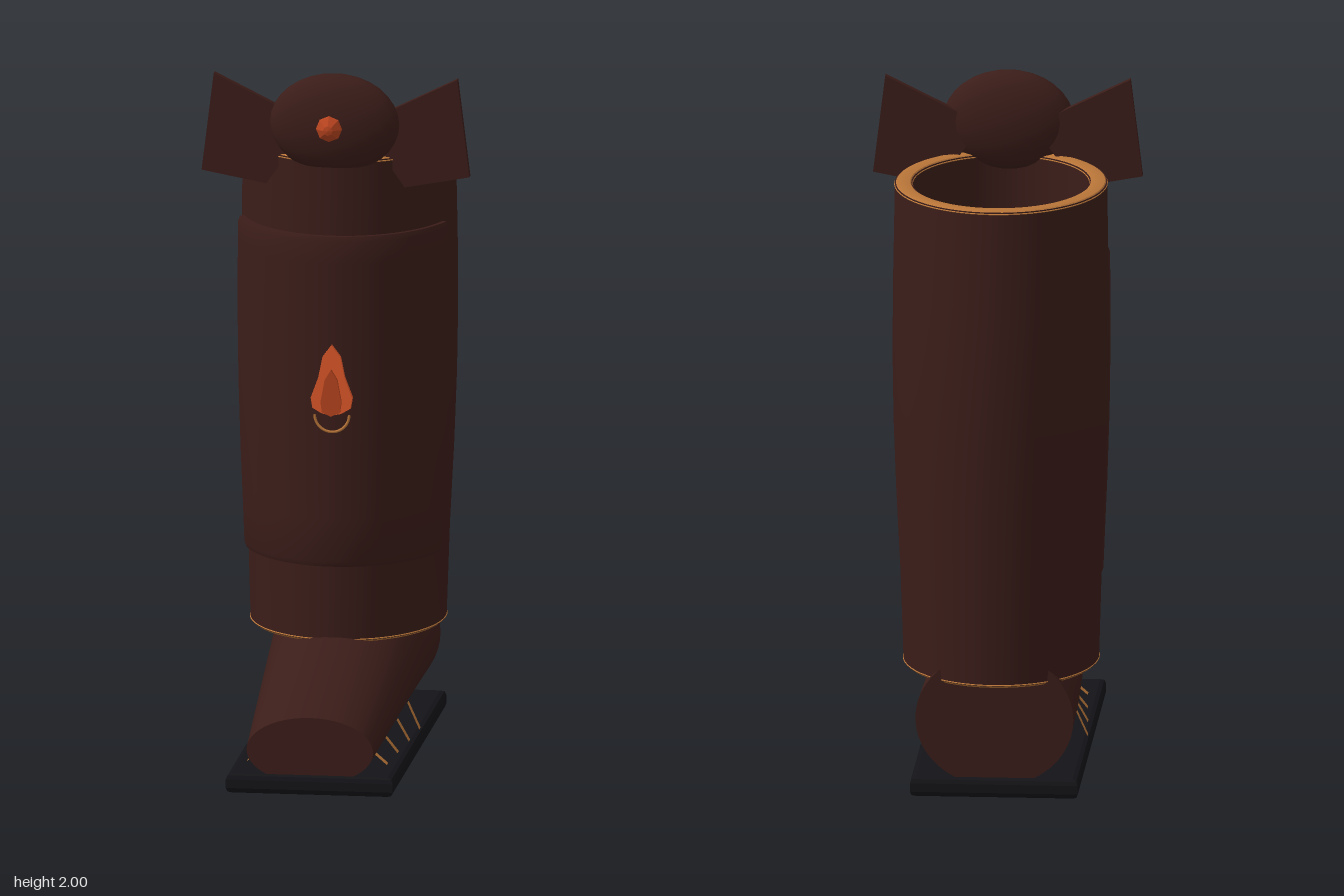
import * as THREE from 'three';
import { toCreasedNormals } from 'three/addons/utils/BufferGeometryUtils.js';

const mat = (color, extra = {}) => new THREE.MeshStandardMaterial({ color, ...extra });
const LEATHER = mat(0x3b1d19);
const GOLD = mat(0xb87538, { side: THREE.DoubleSide });
const RUBBER = mat(0x141418);
const EMBER = mat(0xe2592a, { flatShading: true });
const EMBER_DARK = mat(0xb9441f, { flatShading: true });

// Surface through nu x nv points given by fn(i, j); wraps round in i when closed
function grid(nu, nv, closed, fn) {
  const pos = [], idx = [];
  for (let j = 0; j < nv; j++) for (let i = 0; i < nu; i++) pos.push(...fn(i, j));
  for (let j = 0; j < nv - 1; j++) {
    for (let i = 0; i < (closed ? nu : nu - 1); i++) {
      const a = j * nu + i, b = j * nu + (i + 1) % nu;
      idx.push(a, b, b + nu, a, b + nu, a + nu);
    }
  }
  const geo = new THREE.BufferGeometry();
  geo.setAttribute('position', new THREE.Float32BufferAttribute(pos, 3));
  geo.setIndex(idx);
  return toCreasedNormals(geo, 0.6);
}

// Linear lookup in rows of [key, ...values]
function lookup(rows, k) {
  let n = 0;
  while (n < rows.length - 2 && k > rows[n + 1][0]) n++;
  const a = rows[n], b = rows[n + 1];
  const t = THREE.MathUtils.clamp((k - a[0]) / (b[0] - a[0]), 0, 1);
  return a.map((v, i) => v + (b[i] - v) * t);
}

// Shaft outline: height, half width, back z
const SHAFT = [
  [0.34, 0.28, -0.58], [0.6, 0.288, -0.596], [0.85, 0.3, -0.612], [1.05, 0.307, -0.621],
  [1.25, 0.31, -0.625], [1.45, 0.309, -0.62], [1.75, 0.304, -0.606],
];
const SHAFT_FRONT = 0.11;
function shaftPoint(y, t, offset) {
  const [, rx, back] = lookup(SHAFT, y);
  const cz = (SHAFT_FRONT + back) / 2, rz = (SHAFT_FRONT - back) / 2;
  return [(rx + offset) * Math.sin(t), y, cz + (rz + offset) * Math.cos(t)];
}
// Closed ring swept round the shaft from [height, offset] pairs
function shaftRing(rows) {
  const n = 64;
  return grid(n, rows.length, true, (i, j) => shaftPoint(rows[j][0], (i / n) * Math.PI * 2, rows[j][1]));
}

// Foot outline: z, half width, top height
const FOOT = [
  [-0.525, 0.227, 0.43], [-0.2, 0.222, 0.425], [0.11, 0.207, 0.35], [0.61, 0.183, 0.225],
];
const FOOT_BASE = 0.03;
function footPoint(z, a, scale = 1) {
  const [, rx, top] = lookup(FOOT, z);
  const ry = (top - FOOT_BASE) / 2, cy = FOOT_BASE + ry;
  return [scale * rx * Math.cos(a), Math.max(0.045, cy + scale * ry * Math.sin(a)), z];
}

function polygon(points) {
  return new THREE.Shape(points.map(([x, y]) => new THREE.Vector2(x, y)));
}

export function createModel() {
  const model = new THREE.Group();
  const add = (name, geo, material, parent = model) => {
    const mesh = new THREE.Mesh(geo, material);
    mesh.name = name;
    parent.add(mesh);
    return mesh;
  };

  // Sole: bevelled slab
  const sole = new THREE.ExtrudeGeometry(
    polygon([[-0.225, -0.61], [0.225, -0.61], [0.225, 0.53], [-0.225, 0.53]]),
    { depth: 0.025, bevelThickness: 0.016, bevelSize: 0.016, bevelSegments: 2 });
  sole.rotateX(-Math.PI / 2).translate(0, 0.016, 0);
  add('sole', sole, RUBBER);

  // Foot: flattened ellipses from heel to toe, closed with flat ends
  const zs = FOOT.map((r) => r[0]);
  const stations = [[zs[0], 0], ...zs.map((z) => [z, 1]), [zs[3], 0]];
  add('foot', grid(48, stations.length, true, (i, j) =>
    footPoint(stations[j][0], (i / 48) * Math.PI * 2, stations[j][1])), LEATHER);

  // Welt straps: thin strips leaning from the foot out to the sole
  for (const [z, h] of [[0.44, 0.088], [0.285, 0.102], [0.13, 0.12], [-0.027, 0.136]]) {
    const [, rx, top] = lookup(FOOT, z);
    const ry = (top - FOOT_BASE) / 2;
    const x = rx * Math.sqrt(1 - ((h - FOOT_BASE - ry) / ry) ** 2) + 0.003;
    for (const s of [-1, 1]) {
      add('weltStrap', grid(2, 2, false, (i, j) =>
        [s * (j ? x : x + 0.035), j ? h : 0.058, z + (i - 0.5) * 0.03]), GOLD);
    }
  }

  // Shaft: hollow leather tube
  const heights = SHAFT.map((r) => r[0]);
  const WALL = -0.05;
  add('shaft', shaftRing([
    ...heights.map((y) => [y, 0]),
    ...heights.slice().reverse().map((y) => [y, WALL]),
    [heights[0], 0],
  ]), LEATHER);

  // Gold piping along both ends of the shaft
  for (const [name, y] of [['topTrim', 1.745], ['bottomTrim', 0.343]]) {
    const section = [];
    for (let k = 0; k <= 8; k++) {
      const a = (k / 8) * Math.PI * 2;
      section.push([y + 0.011 * Math.sin(a), WALL / 2 + 0.027 * Math.cos(a)]);
    }
    add(name, shaftRing(section), GOLD);
  }

  // Shin guard: raised panel wrapped round the front of the shaft
  const NT = 40, rows = [0.56, 0.56, 0.575, 0.7, 0.85, 1.05, 1.25, 1.45, 1.515, 1.53, 1.53];
  add('shinGuard', grid(NT + 3, rows.length, false, (i, j) => {
    const t = (THREE.MathUtils.clamp(i - 1, 0, NT) / NT - 0.5) * 2.4;
    const edge = i === 0 || i === NT + 2 || j === 0 || j === rows.length - 1;
    const rim = j === 1 || j === rows.length - 2;
    return shaftPoint(rows[j], t, edge ? -0.005 : rim ? 0.012 : 0.018);
  }), LEATHER);

  // Flame emblem: two layers with a gold arc beneath
  const emblem = new THREE.Group();
  emblem.name = 'flameEmblem';
  model.add(emblem);
  const flame = (half) => polygon([...half, ...half.slice(1, -1).reverse().map(([x, y]) => [-x, y])]);
  const outer = flame([[0, 1.215], [0.026, 1.18], [0.038, 1.12], [0.06, 1.06], [0.055, 1.03], [0.028, 1.014], [0, 1.008]]);
  const inner = flame([[0, 1.145], [0.018, 1.115], [0.03, 1.05], [0.026, 1.02], [0, 1.008]]);
  add('outerFlame', new THREE.ExtrudeGeometry(outer, { depth: 0.02, bevelEnabled: false }).translate(0, 0, 0.122), EMBER, emblem);
  add('innerFlame', new THREE.ExtrudeGeometry(inner, { depth: 0.015, bevelEnabled: false }).translate(0, 0, 0.14), EMBER_DARK, emblem);
  add('emblemArc', new THREE.TorusGeometry(0.05, 0.004, 6, 24, Math.PI).rotateZ(Math.PI).translate(0, 1.008, 0.13), GOLD, emblem);

  // Bow: flattened knot with a wing on each side
  const knot = add('bowKnot', new THREE.SphereGeometry(1, 24, 16), LEATHER);
  knot.scale.set(0.187, 0.146, 0.072);
  knot.position.set(0, 1.852, 0.071);
  for (const s of [-1, 1]) {
    const wing = polygon([[0.352, 1.985], [0.387, 1.7], [0.2, 1.665], [0.07, 1.85], [0.1, 1.86]].map(([x, y]) => [s * x, y]));
    add('bowWing', new THREE.ExtrudeGeometry(wing, { depth: 0.024, bevelEnabled: false }).translate(0, 0, 0.029), LEATHER);
  }

  // Faceted gem in front of the knot
  const facets = [[0, -0.033], [0.014, -0.028], [0.038, -0.003], [0.036, 0.006], [0.014, 0.025], [0, 0.028]];
  const gem = new THREE.LatheGeometry(facets.map(([r, y]) => new THREE.Vector2(r, y)), 8);
  gem.rotateX(Math.PI / 2).translate(0, 1.862, 0.196);
  add('gem', gem, EMBER_DARK);

  return model;
}
